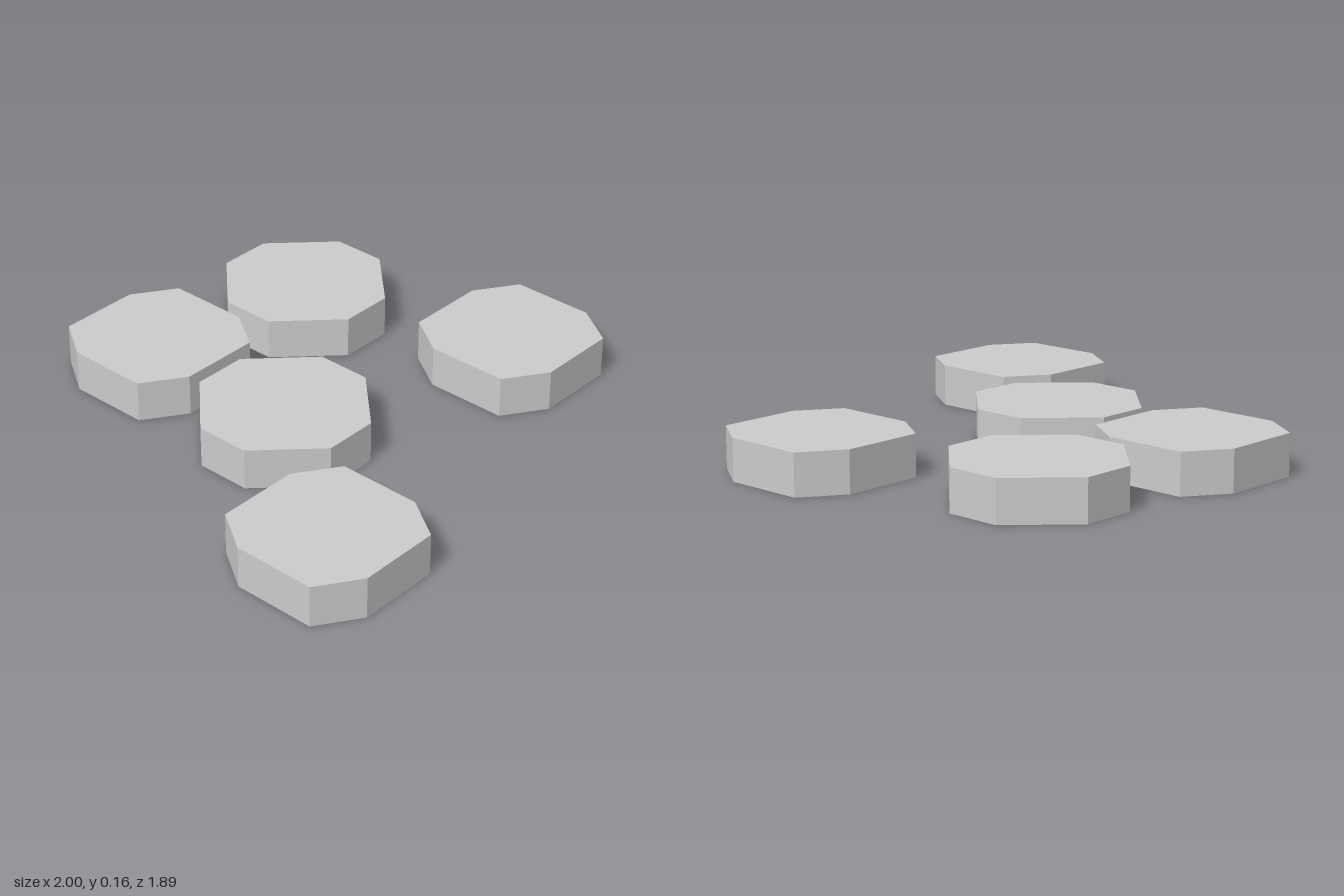
import * as THREE from 'three';

const HEIGHT = 0.162;

// Eight-sided outline: one edge from (x0,-r) to (x1,-r), repeated every quarter turn
function outline(x0, x1, r) {
  const points = [];
  for (let i = 0; i < 4; i++) {
    for (const x of [x0, x1]) {
      let p = [x, -r];
      for (let k = 0; k < i; k++) p = [-p[1], p[0]];
      points.push(p);
    }
  }
  return points;
}

// Flat lid on top of the outline
function lidGeometry(points) {
  const shape = new THREE.Shape(points.map(([x, z]) => new THREE.Vector2(x, -z)));
  return new THREE.ShapeGeometry(shape).rotateX(-Math.PI / 2).translate(0, HEIGHT, 0);
}

// Upright sides around the outline, open underneath
function wallGeometry(points) {
  const pos = [];
  points.forEach(([x, z], i) => {
    const [u, w] = points[(i + 1) % points.length];
    pos.push(x, 0, z, x, HEIGHT, z, u, HEIGHT, w);
    pos.push(x, 0, z, u, HEIGHT, w, u, 0, w);
  });
  const geometry = new THREE.BufferGeometry();
  geometry.setAttribute('position', new THREE.Float32BufferAttribute(pos, 3));
  geometry.computeVertexNormals();
  return geometry;
}

export function createModel() {
  const model = new THREE.Group();
  model.name = 'steppingStones';
  const material = new THREE.MeshStandardMaterial({
    color: 0xcccccc, flatShading: true, side: THREE.DoubleSide,
  });

  const regular = outline(-0.108, 0.108, 0.325);
  const turned = outline(-0.189, 0.135, 0.2975);
  const stones = [
    ['centreStone', regular, -0.245, 0.025],
    ['backLeftStone', regular, 0.457, -0.515],
    ['backRightStone', turned, -0.217, -0.651],
    ['frontLeftStone', turned, 0.7025, 0.323],
    ['frontRightStone', turned, -0.7025, 0.648],
  ];

  for (const [name, points, x, z] of stones) {
    const stone = new THREE.Group();
    stone.name = name;
    const lid = new THREE.Mesh(lidGeometry(points), material);
    lid.name = 'stoneTop';
    const wall = new THREE.Mesh(wallGeometry(points), material);
    wall.name = 'stoneSides';
    stone.add(lid, wall);
    stone.position.set(x, 0, z);
    model.add(stone);
  }
  return model;
}
